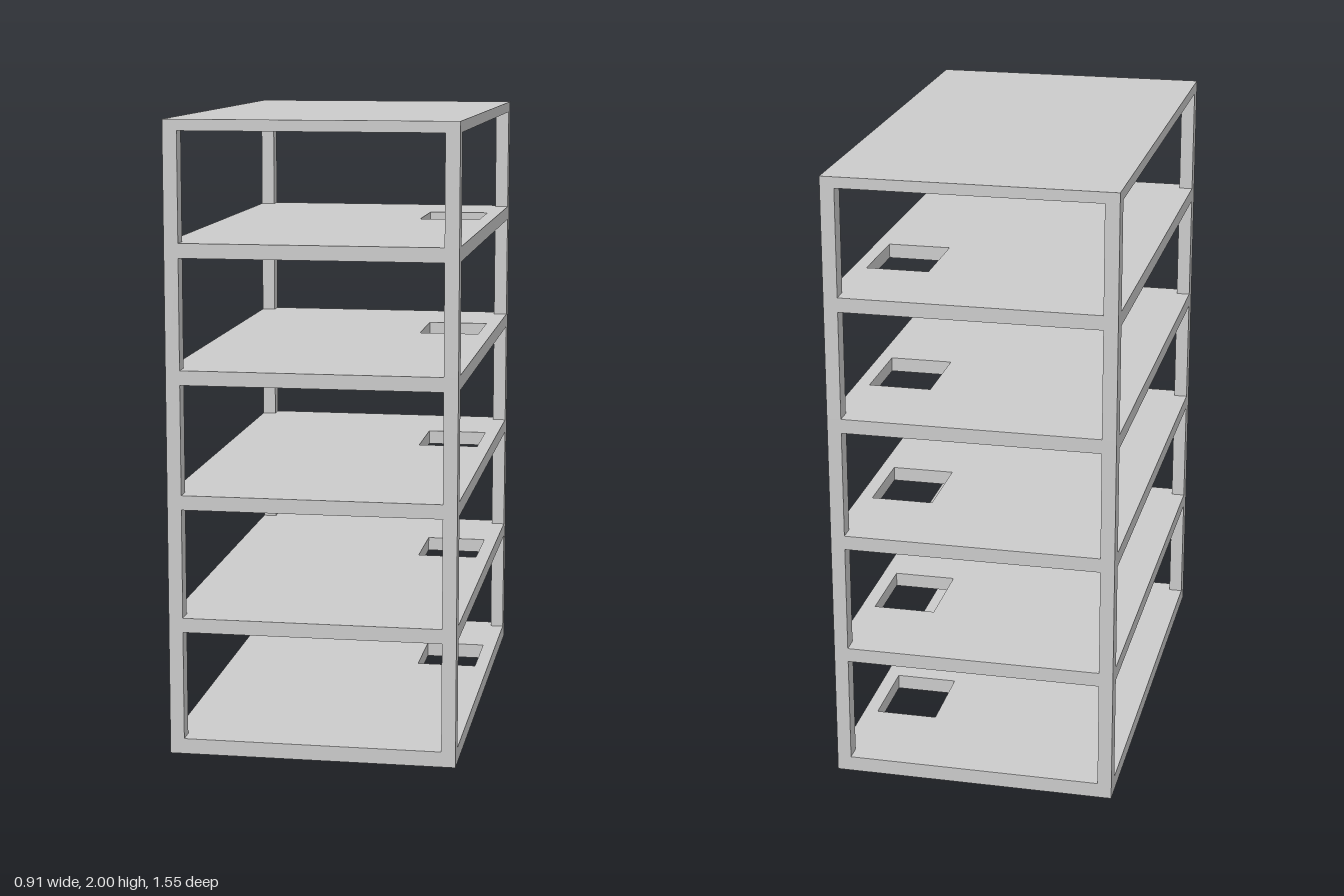
import * as THREE from 'three';

const HALF_X = 0.455, HALF_Z = 0.777;   // footprint half sizes
const COL_X = 0.045, COL_Z = 0.054;     // column section
const SLAB = 0.046, ROOF = 0.035;       // slab thicknesses
const PITCH = 0.3935, FIRST_TOP = 0.049, FLOORS = 5;

// Rectangle outline in plan (x, z)
function rect(Type, x0, z0, x1, z1) {
  const p = new Type();
  p.moveTo(x0, z0);
  p.lineTo(x1, z0);
  p.lineTo(x1, z1);
  p.lineTo(x0, z1);
  p.closePath();
  return p;
}

export function createModel() {
  const group = new THREE.Group();
  const material = new THREE.MeshStandardMaterial({ color: 0xcccccc, flatShading: true });

  // Horizontal plate whose upper face lies at the given height
  function addSlab(name, top, thickness, hasOpening) {
    const shape = rect(THREE.Shape, -HALF_X, -HALF_Z, HALF_X, HALF_Z);
    if (hasOpening) shape.holes.push(rect(THREE.Path, 0.208, -0.455, HALF_X - COL_X, -0.183));
    const geometry = new THREE.ExtrudeGeometry(shape, { depth: thickness, bevelEnabled: false });
    geometry.rotateX(Math.PI / 2);
    const mesh = new THREE.Mesh(geometry, material);
    mesh.name = name;
    mesh.position.y = top;
    group.add(mesh);
  }

  for (let i = 0; i < FLOORS; i++) {
    const top = FIRST_TOP + i * PITCH;
    const ceiling = i === FLOORS - 1 ? 2 - ROOF : top + PITCH - SLAB;

    // Floor with its stairwell opening
    addSlab(`floor${i + 1}`, top, i === 0 ? FIRST_TOP : SLAB, true);

    // Four corner columns of this storey
    const columns = new THREE.Group();
    columns.name = `columns${i + 1}`;
    const geometry = new THREE.BoxGeometry(COL_X, ceiling - top, COL_Z);
    for (const sx of [-1, 1]) for (const sz of [-1, 1]) {
      const column = new THREE.Mesh(geometry, material);
      column.name = 'cornerColumn';
      column.position.set(sx * (HALF_X - COL_X / 2), (top + ceiling) / 2, sz * (HALF_Z - COL_Z / 2));
      columns.add(column);
    }
    group.add(columns);
  }

  // Closed roof plate
  addSlab('roof', 2, ROOF, false);
  return group;
}
